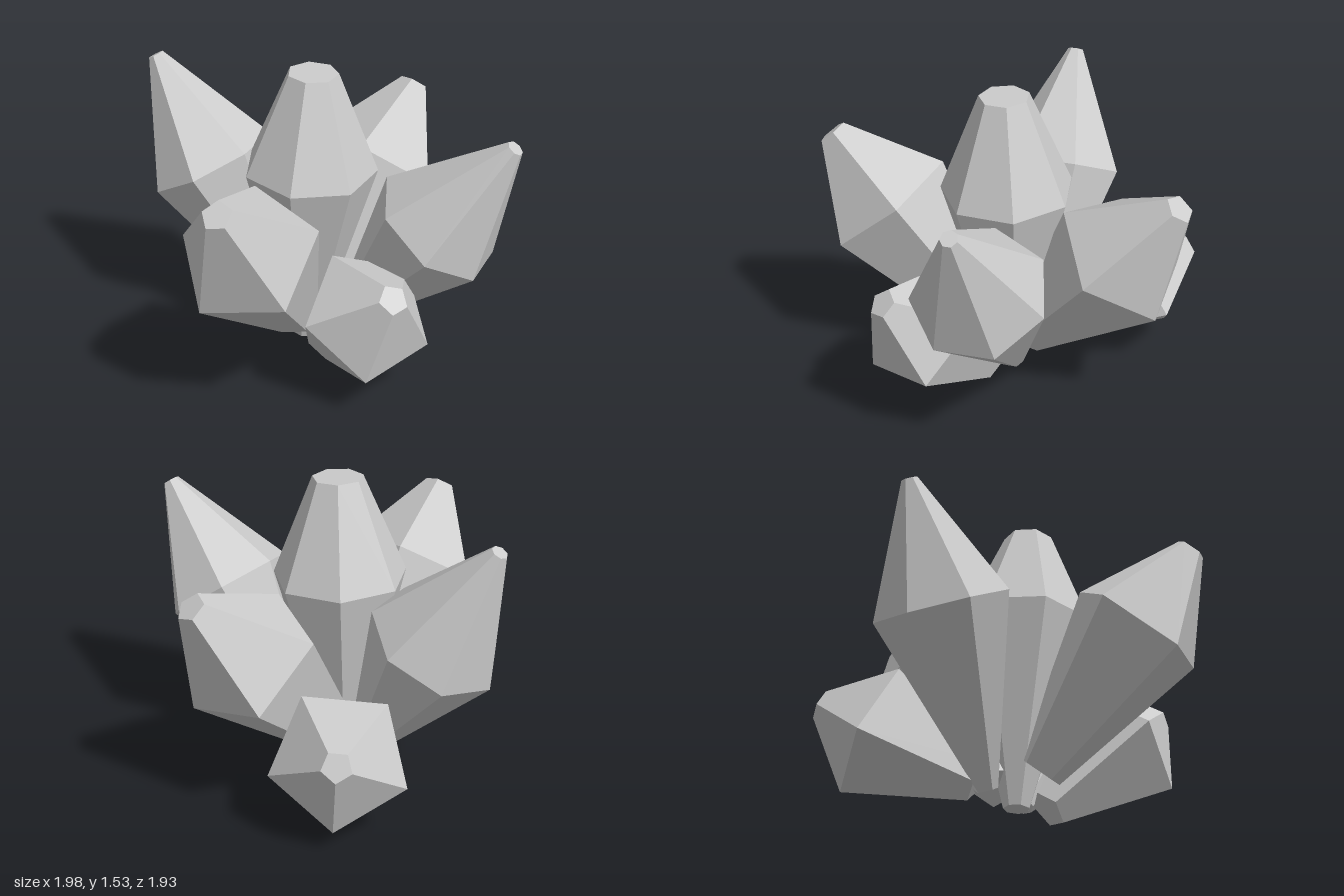
import * as THREE from 'three';

const material = new THREE.MeshStandardMaterial({ color: 0xcccccc, flatShading: true });

// One crystal: narrow root, wide belt at fraction `belt` of its length, cut tip.
// `edge` points from the axis towards the first belt corner.
function crystal({ name, root, tip, sides, belt, radii, edge }) {
  const start = new THREE.Vector3(...root);
  const axis = new THREE.Vector3(...tip).sub(start);
  const length = axis.length();
  axis.normalize();
  const [rRoot, rBelt, rTip] = radii;
  const profile = [[0, 0], [rRoot, 0], [rBelt, belt * length], [rTip, length], [0, length]]
    .map(([r, y]) => new THREE.Vector2(r, y));
  const geometry = new THREE.LatheGeometry(profile, sides);

  // Stand the crystal along its axis, turned so a corner meets `edge`
  const z = new THREE.Vector3(...edge).projectOnPlane(axis).normalize();
  const x = new THREE.Vector3().crossVectors(axis, z);
  geometry.applyMatrix4(new THREE.Matrix4().makeBasis(x, axis, z).setPosition(start));

  const mesh = new THREE.Mesh(geometry, material);
  mesh.name = name;
  return mesh;
}

const crystals = [
  // Tall seven-sided crystals
  { name: 'centreCrystal', root: [-0.08, 0.04, -0.02], tip: [-0.015, 1.53, 0], sides: 7,
    belt: 0.66, radii: [0.065, 0.335, 0.125], edge: [-1, 0, 0.08] },
  { name: 'rightCrystal', root: [-0.22, 0.11, -0.08], tip: [-0.957, 1.42, 0.03], sides: 7,
    belt: 0.59, radii: [0.05, 0.335, 0.04], edge: [-0.145, -0.09, 0.3] },
  { name: 'leftCrystal', root: [0.08, 0.12, -0.105], tip: [0.96, 1.31, -0.21], sides: 7,
    belt: 0.59, radii: [0.05, 0.335, 0.042], edge: [0.11, -0.06, 0.33] },
  // Medium five-sided crystals
  { name: 'frontCrystal', root: [-0.057, 0.21, 0.1], tip: [0.09, 1.205, 0.91], sides: 5,
    belt: 0.645, radii: [0.12, 0.35, 0.075], edge: [-0.084, -0.2, 0.274] },
  { name: 'backCrystal', root: [-0.13, 0.15, -0.08], tip: [0.025, 1.16, -0.915], sides: 5,
    belt: 0.645, radii: [0.115, 0.355, 0.075], edge: [0.084, 0.25, 0.25] },
  // Short five-sided crystals
  { name: 'frontLeftCrystal', root: [0.09, 0.07, 0.038], tip: [0.648, 0.66, 0.324], sides: 5,
    belt: 0.65, radii: [0.1, 0.335, 0.075], edge: [0.126, -0.223, 0.216] },
  { name: 'backRightCrystal', root: [-0.205, 0.175, -0.16], tip: [-0.704, 0.559, -0.744], sides: 5,
    belt: 0.65, radii: [0.105, 0.342, 0.075], edge: [-0.08, -0.305, -0.13] },
];

export function createModel() {
  const group = new THREE.Group();
  group.name = 'crystalCluster';
  for (const spec of crystals) group.add(crystal(spec));
  return group;
}
